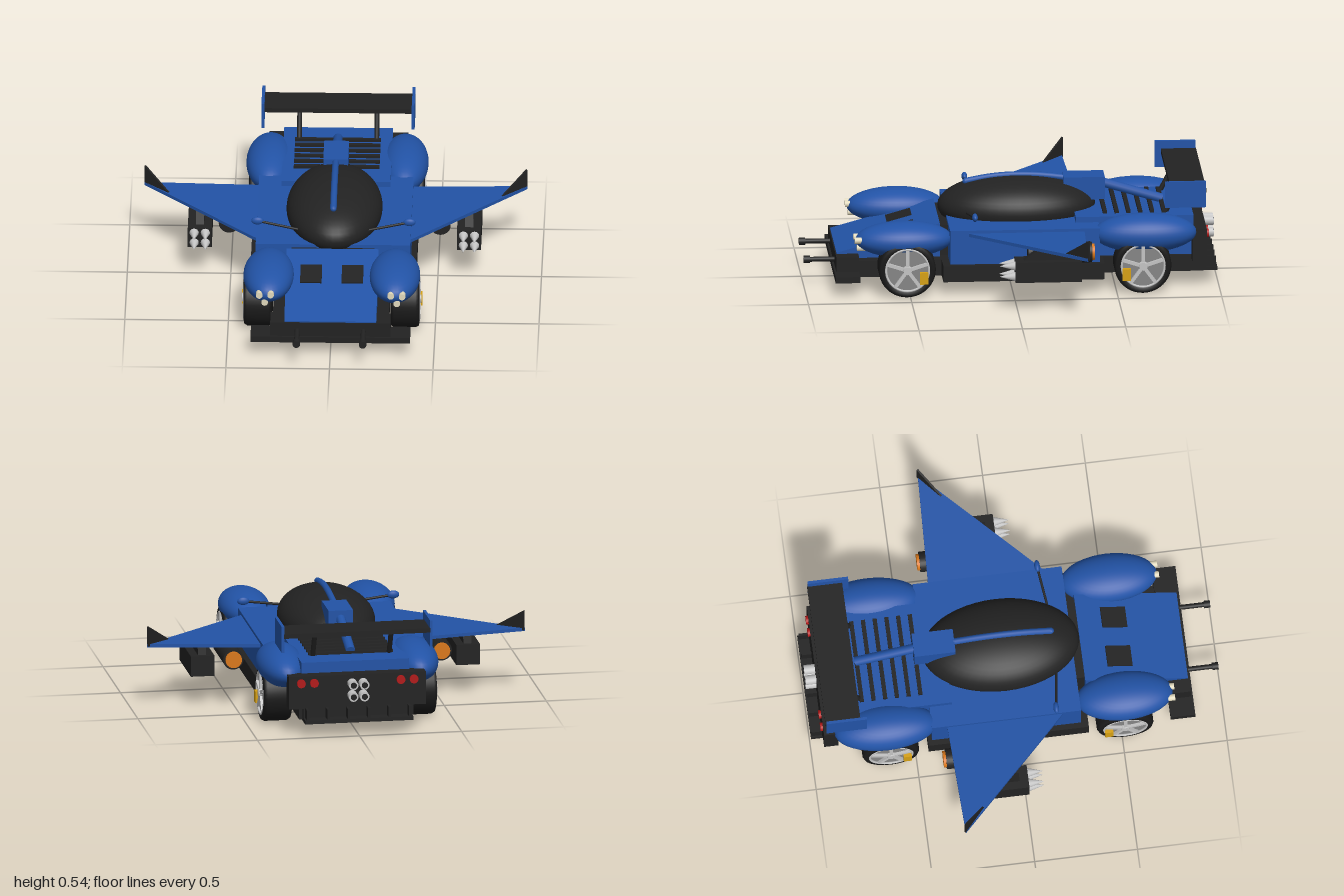
import * as THREE from 'three';

const mat = (name, color, extra = {}) => Object.assign(new THREE.MeshStandardMaterial({ color, ...extra }), { name });

export function createModel() {
  const blue = mat('bodyBlue', 0x2253a6);
  const black = mat('trimBlack', 0x222222);
  const rubber = mat('tyreRubber', 0x1a1a1a);
  const grey = mat('rimGrey', 0x858585);
  const silver = mat('silver', 0xc4c4c4);
  const yellow = mat('caliperYellow', 0xd6a013);
  const cream = mat('headlightCream', 0xe0d8bc);
  const red = mat('tailRed', 0xb01818);
  const orange = mat('nozzleOrange', 0xd9771a);

  const car = new THREE.Group();
  car.name = 'wingedCar';

  const add = (name, geo, m, x = 0, y = 0, z = 0, parent = car) => {
    const mesh = new THREE.Mesh(geo, m);
    mesh.name = name;
    mesh.position.set(x, y, z);
    parent.add(mesh);
    return mesh;
  };
  // box from its x, y and z ranges
  const box = (name, m, x0, x1, y0, y1, z0, z1) =>
    add(name, new THREE.BoxGeometry(x1 - x0, y1 - y0, z1 - z0), m, (x0 + x1) / 2, (y0 + y1) / 2, (z0 + z1) / 2);
  const ball = (name, m, x, y, z, rx, ry, rz, seg = 32) =>
    add(name, new THREE.SphereGeometry(1, seg, seg / 2).scale(rx, ry, rz), m, x, y, z);
  // cylinder along z; r0 is the front radius, r1 the back radius
  const rod = (name, m, x, y, zFront, zBack, r0, r1 = r0, seg = 20) =>
    add(name, new THREE.CylinderGeometry(r0, r1, zFront - zBack, seg).rotateX(Math.PI / 2), m, x, y, (zFront + zBack) / 2);
  const strut = (name, m, a, b, r) => {
    const va = new THREE.Vector3(...a), vb = new THREE.Vector3(...b);
    const mesh = add(name, new THREE.CylinderGeometry(r, r, va.distanceTo(vb), 10), m);
    mesh.position.lerpVectors(va, vb, 0.5);
    mesh.quaternion.setFromUnitVectors(new THREE.Vector3(0, 1, 0), vb.sub(va).normalize());
    return mesh;
  };
  // side profile of [z, y] points, extruded across x
  const profile = (name, m, pts, halfWidth, x = 0) => {
    const shape = new THREE.Shape(pts.map(([z, y]) => new THREE.Vector2(-z, y)));
    const geo = new THREE.ExtrudeGeometry(shape, { depth: halfWidth * 2, bevelEnabled: false });
    return add(name, geo.translate(0, 0, -halfWidth).rotateY(Math.PI / 2), m, x);
  };

  // Floor, side skirts and front splitter
  box('floor', black, -0.28, 0.28, 0.07, 0.15, -0.91, 0.75);
  box('sideSkirts', black, -0.4, 0.4, 0.07, 0.15, -0.44, 0.34);
  box('frontBumper', black, -0.29, 0.29, 0.07, 0.172, 0.74, 0.85);
  box('splitter', black, -0.385, 0.385, 0.07, 0.1, 0.74, 0.86);

  // Body
  box('mainBody', blue, -0.373, 0.373, 0.15, 0.318, -0.42, 0.305);
  box('cowlGap', black, -0.2, 0.2, 0.15, 0.3, 0.3, 0.35);
  profile('nose', blue, [[0.345, 0.15], [0.845, 0.15], [0.845, 0.178], [0.345, 0.316]], 0.222);
  box('engineDeck', blue, -0.263, 0.263, 0.15, 0.345, -0.88, -0.31);
  for (const s of [-1, 1]) {
    const vent = box('hoodVent', black, s * 0.1 - 0.052, s * 0.1 + 0.052, 0.258, 0.274, 0.46, 0.585);
    vent.rotation.x = 0.27;
  }
  for (let i = 0; i < 6; i++) {
    const z = -0.455 - i * 0.057;
    box('engineSlat', black, -0.207, 0.207, 0.34, 0.358, z - 0.01, z + 0.01);
  }

  // Canopy, roof scoop and spine
  ball('canopy', black, 0, 0.345, -0.04, 0.232, 0.145, 0.382, 48);
  box('roofScoop', blue, -0.06, 0.06, 0.375, 0.487, -0.465, -0.265);
  const arc = new THREE.CatmullRomCurve3([[0.205, 0.462], [0.08, 0.483], [-0.04, 0.49], [-0.16, 0.485], [-0.3, 0.468]]
    .map(([z, y]) => new THREE.Vector3(0, y, z)));
  add('canopySpine', new THREE.TubeGeometry(arc, 24, 0.016, 10), blue);
  ball('spineTip', blue, 0, 0.462, 0.205, 0.016, 0.016, 0.016, 12);
  strut('tailSpine', blue, [0, 0.45, -0.44], [0, 0.358, -0.745], 0.023);

  // Wheel facing outward along side s
  const tyreProfile = [[0.104, 0.055], [0.11, 0.07], [0.13, 0.066], [0.138, 0.052], [0.138, -0.052], [0.13, -0.068], [0.0, -0.068]]
    .map(([r, h]) => new THREE.Vector2(r, h)).reverse();
  const wheel = (name, s, z, caliperSide) => {
    const g = new THREE.Group();
    g.name = name;
    g.position.set(s * 0.355, 0.138, z);
    g.rotation.z = -s * Math.PI / 2;
    car.add(g);
    add('tyre', new THREE.LatheGeometry(tyreProfile, 40), rubber, 0, 0, 0, g);
    add('rimDisc', new THREE.CylinderGeometry(0.106, 0.106, 0.02, 40), grey, 0, 0.05, 0, g);
    add('rimLip', new THREE.TorusGeometry(0.104, 0.006, 8, 40).rotateX(Math.PI / 2), silver, 0, 0.066, 0, g);
    add('hub', new THREE.CylinderGeometry(0.02, 0.024, 0.02, 16), silver, 0, 0.068, 0, g);
    for (let i = 0; i < 5; i++) {
      const a = i * Math.PI * 0.4;
      // local up-direction of the car is -s on x, so one spoke points up
      const spoke = new THREE.BoxGeometry(0.09, 0.014, 0.016).translate(0.056, 0, 0).rotateY(a + (s > 0 ? Math.PI : 0));
      add('spoke', spoke, silver, 0, 0.066, 0, g);
    }
    box('brakeCaliper', yellow, s * 0.424 - 0.012, s * 0.424 + 0.012, 0.07, 0.128, z + caliperSide * 0.08 - 0.02, z + caliperSide * 0.08 + 0.02);
  };

  for (const s of [-1, 1]) {
    wheel('frontWheel', s, 0.515, -1);
    wheel('rearWheel', s, -0.625, 1);
    ball('frontFender', blue, s * 0.305, 0.265, 0.525, 0.122, 0.086, 0.235, 40);
    ball('rearFender', blue, s * 0.325, 0.28, -0.64, 0.115, 0.095, 0.25, 40);

    // Headlight cluster
    for (const [x, y, z] of [[0.29, 0.276, 0.75], [0.345, 0.272, 0.748], [0.319, 0.228, 0.735]])
      rod('headlight', cream, s * x, y, z + 0.018, z - 0.04, 0.016, 0.016, 16);

    // Front guns
    rod('gunBarrel', black, s * 0.16, 0.13, 0.98, 0.84, 0.012);
    rod('gunMuzzle', black, s * 0.16, 0.13, 1.0, 0.97, 0.018);

    // Mirror on its stalk
    strut('mirrorStalk', black, [s * 0.17, 0.35, 0.21], [s * 0.36, 0.38, 0.185], 0.006);
    ball('mirror', blue, s * 0.367, 0.382, 0.185, 0.03, 0.02, 0.014, 16);

    // Swept wing, rising slightly to the tip
    const plan = new THREE.Shape([[0.3, -0.28], [0.39, -0.2], [0.925, 0.325], [0.37, 0.345], [0.3, 0.345]]
      .map(([x, y]) => new THREE.Vector2(s * x, y)));
    const wing = new THREE.ExtrudeGeometry(plan, { depth: 0.016, bevelEnabled: false }).rotateX(-Math.PI / 2);
    const p = wing.attributes.position;
    for (let i = 0; i < p.count; i++) p.setY(i, p.getY(i) + 0.288 + (Math.abs(p.getX(i)) - 0.37) * 0.035);
    wing.computeVertexNormals();
    add('wing', wing, blue);

    // Upright fin along the wing's leading tip
    const fin = new THREE.Shape([[0, 0], [0.167, 0], [0, 0.1]].map(([u, v]) => new THREE.Vector2(u, v)));
    const finGeo = new THREE.ExtrudeGeometry(fin, { depth: 0.01, bevelEnabled: false }).translate(0, 0, -0.005);
    add('wingtipFin', finGeo, black, s * 0.921, 0.312, -0.328).rotation.y = Math.atan2(-0.11, -0.125 * s);

    // Missile pod and pylon
    const px = s * 0.65;
    box('missilePod', black, px - 0.058, px + 0.058, 0.147, 0.248, -0.31, 0.012);
    profile('podPylon', black, [[-0.02, 0.24], [-0.1, 0.3], [-0.28, 0.3], [-0.29, 0.24]], 0.02, px);
    for (const dx of [-0.027, 0.027]) for (const y of [0.171, 0.224])
      rod('missileTip', silver, px + dx, y, 0.085, 0.01, 0.001, 0.023, 16);

    // Underwing engine
    rod('wingEngine', black, s * 0.51, 0.24, -0.06, -0.37, 0.05, 0.05, 28);
    rod('engineNozzle', orange, s * 0.51, 0.24, -0.365, -0.383, 0.04, 0.04, 28);

    // Rear wing supports, end plates and tail lights
    strut('spoilerSupport', black, [s * 0.187, 0.335, -0.745], [s * 0.187, 0.49, -0.825], 0.012);
    box('spoilerEndPlate', blue, s * 0.363 - 0.007, s * 0.363 + 0.007, 0.413, 0.543, -0.932, -0.735);
    for (const x of [0.212, 0.276]) rod('tailLight', red, s * x, 0.258, -0.93, -0.952, 0.021);
    for (const x of [0.05, 0.15, 0.25])
      box('diffuserFin', black, s * x - 0.006, s * x + 0.006, 0.07, 0.135, -0.99, -0.93);
  }

  // Rear wing blade
  box('spoilerBlade', black, -0.358, 0.358, 0.483, 0.505, -0.935, -0.765);

  // Rear bumper, diffuser and exhausts
  box('rearBumper', black, -0.335, 0.335, 0.13, 0.292, -0.94, -0.87);
  box('rearValance', black, -0.265, 0.265, 0.07, 0.15, -0.94, -0.9);
  box('diffuser', black, -0.265, 0.265, 0.067, 0.085, -0.995, -0.9);
  for (const x of [-0.027, 0.027]) for (const y of [0.192, 0.25]) {
    rod('exhaustPipe', silver, x, y, -0.93, -0.993, 0.023);
    rod('exhaustBore', black, x, y, -0.985, -0.995, 0.015);
  }
  return car;
}
